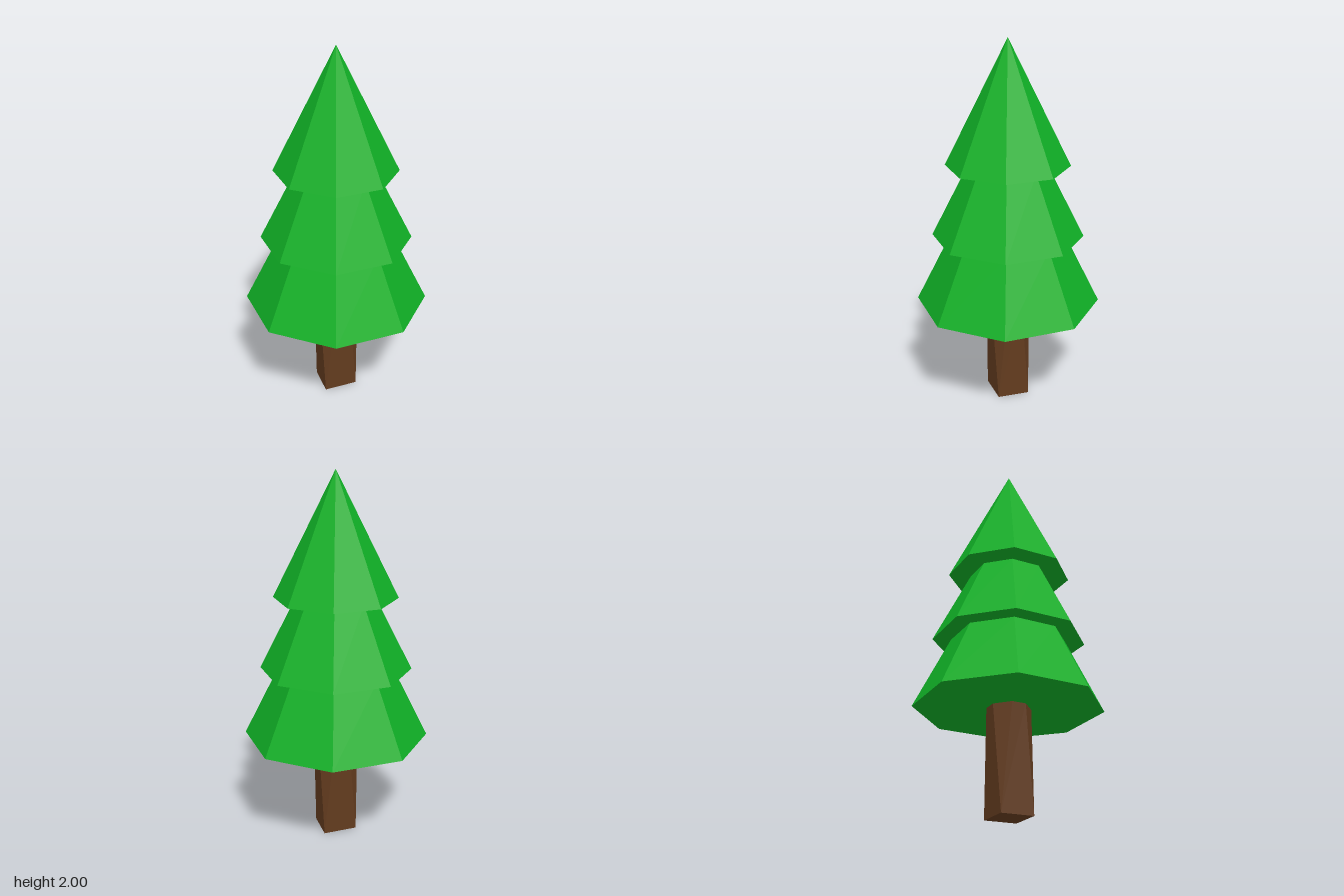
import * as THREE from 'three';

const GREEN = new THREE.MeshStandardMaterial({ color: 0x10b026, flatShading: true });
const BROWN = new THREE.MeshStandardMaterial({ color: 0x643c1f, flatShading: true });

// Trunk: a four-sided foot whose corners each split into two, giving an eight-sided top
function trunkGeometry(height) {
  const halfFoot = [[0.042, 0.125], [0.115, -0.047]];
  const halfTop = [[-0.01, 0.12], [0.085, 0.08], [0.115, 0.01], [0.08, -0.09]];
  // The second half of each ring is the first turned by 180 degrees
  const ring = (half, y) => [...half, ...half.map(([x, z]) => [-x, -z])].map(([x, z]) => [x, y, z]);
  const foot = ring(halfFoot, 0);
  const top = ring(halfTop, height);
  const positions = [];
  const face = (...p) => {
    for (let i = 1; i < p.length - 1; i++) positions.push(...p[0], ...p[i], ...p[i + 1]);
  };

  for (let i = 0; i < 4; i++) {
    const j = (i + 1) % 4;
    face(foot[i], top[2 * i + 1], top[2 * i]);              // corner bevel
    face(foot[i], foot[j], top[2 * j], top[2 * i + 1]);     // main side
  }
  face(...foot.slice().reverse());
  face(...top);

  const geometry = new THREE.BufferGeometry();
  geometry.setAttribute('position', new THREE.Float32BufferAttribute(positions, 3));
  geometry.computeVertexNormals();
  return geometry;
}

export function createModel() {
  const tree = new THREE.Group();
  tree.name = 'pineTree';

  const trunk = new THREE.Mesh(trunkGeometry(0.57), BROWN);
  trunk.name = 'trunk';
  tree.add(trunk);

  // Foliage: stacked eight-sided tiers, each meeting the underside of the next
  const tiers = [
    { name: 'lowerFoliage', y0: 0.565, y1: 0.945, bottom: 0.5, top: 0.31 },
    { name: 'middleFoliage', y0: 0.945, y1: 1.337, bottom: 0.408, top: 0.21 },
    { name: 'upperFoliage', y0: 1.337, y1: 2, bottom: 0.331, top: 0 },
  ];
  for (const { name, y0, y1, bottom, top } of tiers) {
    const tier = new THREE.Mesh(new THREE.CylinderGeometry(top, bottom, y1 - y0, 8), GREEN);
    tier.name = name;
    tier.position.y = (y0 + y1) / 2;
    tree.add(tier);
  }
  return tree;
}
